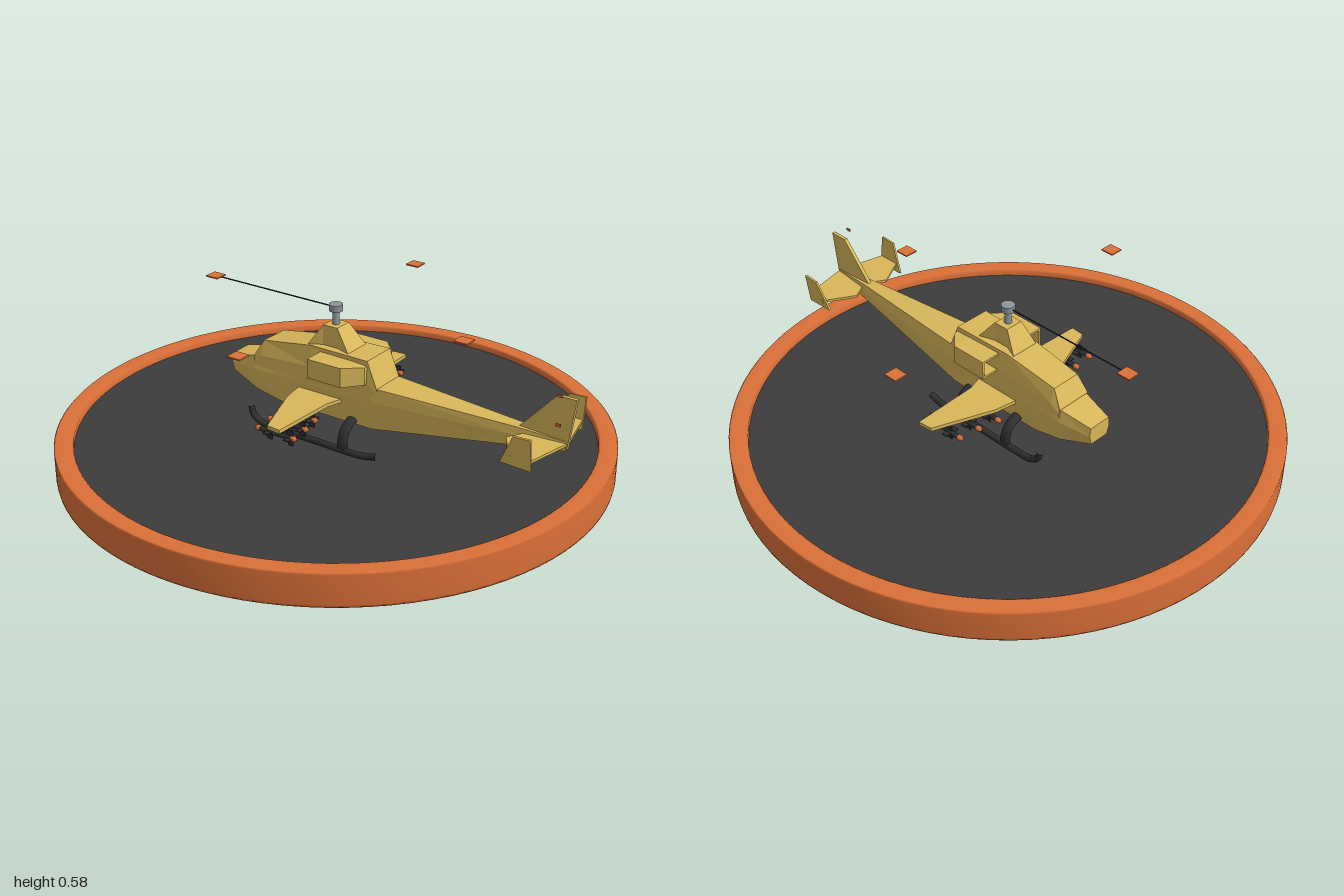
import * as THREE from 'three';

const mat = (name, color, side = THREE.FrontSide) => {
  const m = new THREE.MeshStandardMaterial({ color, side });
  m.name = name;
  return m;
};

// Faceted hull from cross-sections [z, ring of [x, y]] (ring anticlockwise seen from +z)
function loft(sections) {
  const rings = sections.map(([z, pts]) => pts.map(([x, y]) => [x, y, z]));
  const pos = [], n = rings[0].length, last = rings.length - 1;
  const tri = (a, b, c) => pos.push(...a, ...b, ...c);
  for (let i = 0; i < last; i++) {
    for (let j = 0; j < n; j++) {
      const k = (j + 1) % n;
      tri(rings[i][j], rings[i][k], rings[i + 1][k]);
      tri(rings[i][j], rings[i + 1][k], rings[i + 1][j]);
    }
  }
  for (let j = 1; j < n - 1; j++) {
    tri(rings[0][0], rings[0][j + 1], rings[0][j]);
    tri(rings[last][0], rings[last][j], rings[last][j + 1]);
  }
  const g = new THREE.BufferGeometry();
  g.setAttribute('position', new THREE.Float32BufferAttribute(pos, 3));
  g.computeVertexNormals();
  return g;
}

// Symmetric six-sided ring: bottom, middle and top heights and half widths
const ring = (yb, ym, yt, wb, wm, wt) =>
  [[wb, yb], [wm, ym], [wt, yt], [-wt, yt], [-wm, ym], [-wb, yb]];
const rect = (x, y, w, h) => [[x + w, y - h], [x + w, y + h], [x - w, y + h], [x - w, y - h]];

const slab = (pts, depth) => {
  const shape = new THREE.Shape(pts.map(p => new THREE.Vector2(...p)));
  const g = new THREE.ExtrudeGeometry(shape, { depth, bevelEnabled: false });
  return g.translate(0, 0, -depth / 2);
};
// Horizontal slab from right-hand [x, z] points, mirrored across x = 0
const planSlab = (half, depth) =>
  slab([...half, ...half.map(([x, z]) => [-x, z]).reverse()], depth).rotateX(Math.PI / 2);
// Upright slab from [z, y] points
const sideSlab = (pts, depth) => slab(pts, depth).rotateY(-Math.PI / 2);

export function createModel() {
  const root = new THREE.Group();
  root.name = 'helicopterOnStand';
  const sand = mat('sandYellow', 0xd9b75a);
  const orange = mat('orange', 0xdb7038);
  const floor = mat('darkGrey', 0x3c3c3c);
  const black = mat('gunmetal', 0x303032);
  const steel = mat('steel', 0x8e959b);

  const add = (name, geo, material, x = 0, y = 0, z = 0, parent = root) => {
    const m = new THREE.Mesh(geo, material);
    m.name = name;
    m.position.set(x, y, z);
    parent.add(m);
    return m;
  };

  // Round stand with a raised rim and a sunken floor
  const rim = [[0, 0], [0.998, 0], [1, 0.01], [1, 0.115], [0.995, 0.12], [0.94, 0.12], [0.932, 0.115], [0.932, 0.09]];
  add('standRim', new THREE.LatheGeometry(rim.map(p => new THREE.Vector2(...p)), 96), orange);
  add('standFloor', new THREE.CircleGeometry(0.934, 96).rotateX(-Math.PI / 2), floor, 0, 0.096, 0);

  // Fuselage, nose at -z, running into the tail boom
  add('fuselage', loft([
    [-0.433, ring(0.238, 0.275, 0.307, 0.04, 0.05, 0.045)],
    [-0.31, ring(0.2, 0.285, 0.333, 0.06, 0.076, 0.066)],
    [-0.2, ring(0.186, 0.29, 0.345, 0.07, 0.078, 0.072)],
    [0.2, ring(0.186, 0.29, 0.342, 0.07, 0.075, 0.07)],
    [0.74, ring(0.262, 0.3, 0.33, 0.02, 0.027, 0.022)],
    [0.91, ring(0.286, 0.298, 0.32, 0.008, 0.012, 0.008)],
  ]), sand);

  // Canopy and engine deck
  add('cabin', loft([
    [-0.313, ring(0.3, 0.32, 0.337, 0.072, 0.073, 0.07)],
    [-0.275, ring(0.3, 0.345, 0.4, 0.075, 0.075, 0.058)],
    [-0.06, ring(0.3, 0.36, 0.435, 0.077, 0.077, 0.064)],
    [0.18, ring(0.3, 0.36, 0.437, 0.075, 0.075, 0.07)],
    [0.22, ring(0.3, 0.32, 0.34, 0.07, 0.07, 0.07)],
  ]), sand);

  // Rotor pylon
  add('rotorPylon', loft([
    [-0.08, rect(0, 0.425, 0.055, 0.01)],
    [-0.03, rect(0, 0.468, 0.035, 0.043)],
    [0.03, rect(0, 0.468, 0.035, 0.043)],
    [0.09, rect(0, 0.425, 0.055, 0.01)],
  ]), sand);

  // Engines with hollow intakes facing the nose
  for (const s of [-1, 1]) {
    const x = 0.095 * s;
    add('engine', loft([
      [0.04, rect(x, 0.386, 0.042, 0.028)],
      [-0.02, rect(x, 0.386, 0.042, 0.028)],
      [-0.02, rect(x, 0.386, 0.05, 0.036)],
      [0.12, rect(x, 0.386, 0.05, 0.036)],
      [0.18, rect(0.065 * s, 0.386, 0.02, 0.033)],
    ]), sand);
  }

  // Stub wings
  add('wings', planSlab([[0.07, -0.11], [0.16, -0.095], [0.385, -0.01], [0.39, 0.045], [0.13, 0.055], [0.07, 0.075]], 0.014),
    sand, 0, 0.26, 0);

  // Tail fin, stabiliser and end plates
  add('tailFin', sideSlab([[0.73, 0.32], [0.866, 0.473], [0.936, 0.473], [0.912, 0.29]], 0.014), sand);
  add('stabiliser', planSlab([[0.015, 0.765], [0.075, 0.73], [0.188, 0.795], [0.185, 0.873], [0.015, 0.91]], 0.01),
    sand, 0, 0.309, 0);
  for (const s of [-1, 1]) {
    const plate = add('stabiliserEndPlate',
      sideSlab([[0.765, -0.025], [0.815, 0.085], [0.877, 0.088], [0.877, -0.03]], 0.008), sand, 0.182 * s, 0.306, 0);
    plate.rotation.z = -0.13 * s;
  }

  // Tail rotor tips
  for (const y of [0.488, 0.386]) add('tailRotorTip', new THREE.BoxGeometry(0.004, 0.01, 0.018), orange, -0.036, y, 0.89);

  // Mast, hub, blade and coloured blade tips
  add('rotorMast', new THREE.CylinderGeometry(0.011, 0.014, 0.06, 16), steel, 0, 0.535, 0);
  add('rotorHub', new THREE.CylinderGeometry(0.025, 0.025, 0.024, 20), steel, 0, 0.572, 0);
  add('rotorBlade', new THREE.BoxGeometry(0.003, 0.004, 0.54), black, 0, 0.572, -0.27);
  for (const [x, z] of [[0.527, -0.01], [-0.527, -0.01], [0, -0.54], [0, 0.515]]) {
    add('bladeTip', new THREE.BoxGeometry(0.05, 0.005, 0.052), orange, x, 0.572, z);
  }

  // Missiles under the wings: body, nose, cross fins and hanger
  const missile = new THREE.CylinderGeometry(0.009, 0.009, 0.15, 12).rotateX(Math.PI / 2);
  const missileNose = new THREE.SphereGeometry(0.0105, 12, 8).scale(1, 1, 1.4);
  const fin = new THREE.BoxGeometry(0.056, 0.004, 0.022);
  const hanger = new THREE.BoxGeometry(0.006, 0.032, 0.05);
  for (const [x, z] of [[0.155, -0.025], [0.235, -0.01], [0.315, 0], [-0.19, -0.025], [-0.265, -0.01], [-0.345, 0]]) {
    const g = new THREE.Group();
    g.name = 'missile';
    g.position.set(x, 0.223, z);
    root.add(g);
    add('missileBody', missile, black, 0, 0, 0, g);
    add('missileNose', missileNose, orange, 0, 0, -0.078, g);
    add('missileTail', missileNose, orange, 0, 0, 0.068, g);
    add('missileHanger', hanger, black, 0, 0.02, 0, g);
    for (const fz of [-0.03, 0.058]) {
      add('missileFin', fin, black, 0, 0, fz, g);
      add('missileFin', fin, black, 0, 0, fz, g).rotation.z = Math.PI / 2;
    }
  }

  // Landing skids with curled fronts and arched struts
  const tube = (pts, r, seg) => new THREE.TubeGeometry(
    new THREE.CatmullRomCurve3(pts.map(p => new THREE.Vector3(...p))), seg, r, 10);
  for (const s of [-1, 1]) {
    const x = 0.131 * s;
    add('skid', tube([[x, 0.168, -0.282], [x, 0.135, -0.272], [x, 0.112, -0.235], [x, 0.108, -0.18],
      [x, 0.108, 0], [x, 0.108, 0.2], [x, 0.122, 0.265]], 0.012, 40), black);
    for (const z of [-0.115, 0.12]) {
      const strut = add('skidStrut', tube([[0.05 * s, 0.205, 0], [0.085 * s, 0.196, 0], [0.115 * s, 0.175, 0],
        [0.13 * s, 0.145, 0], [x, 0.105, 0]], 0.011, 16), black, 0, 0, z);
      strut.scale.z = 1.9;
    }
  }
  return root;
}
